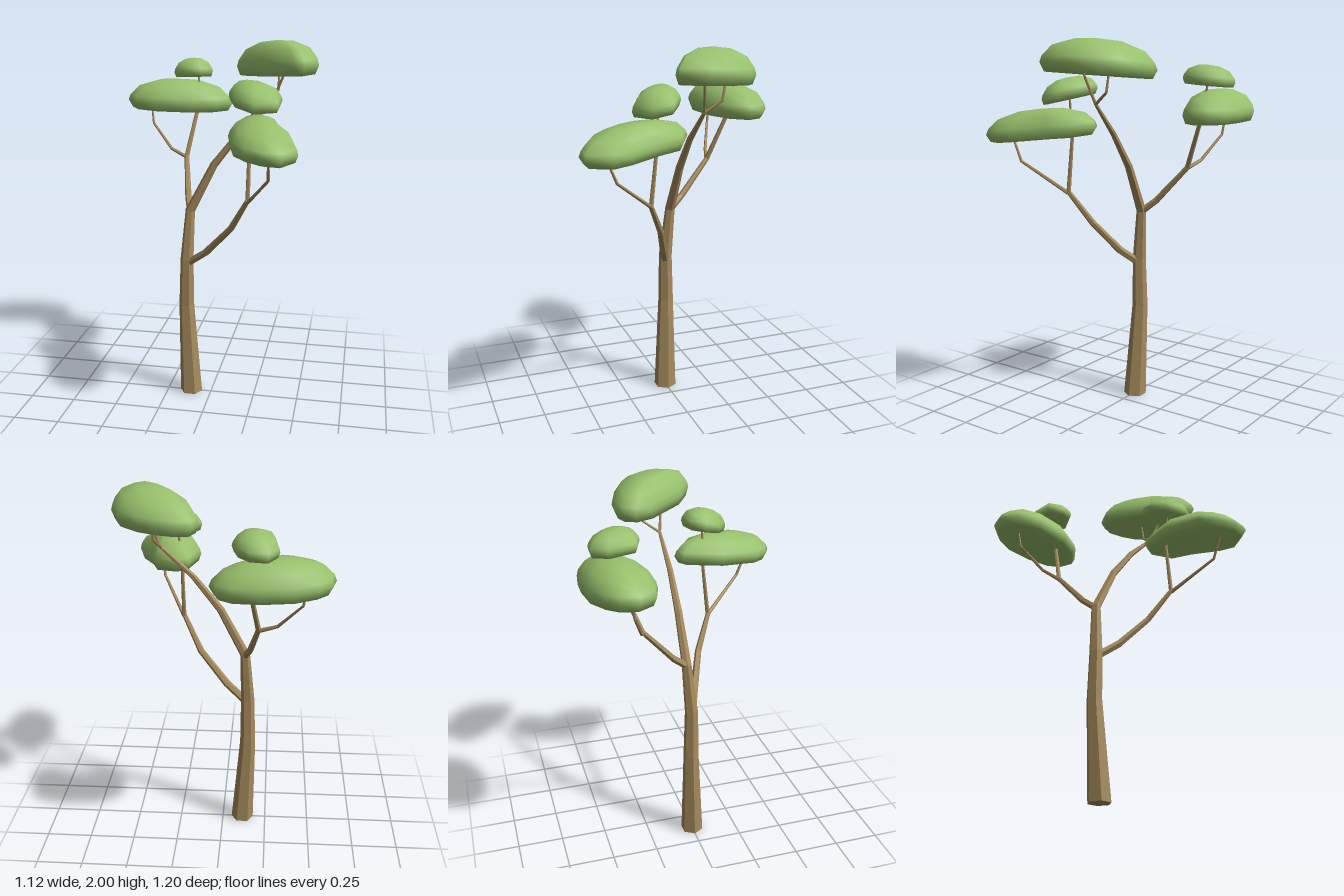
import * as THREE from 'three';

const bark = new THREE.MeshStandardMaterial({ color: 0xa58a5c, flatShading: true });
bark.name = 'bark brown';
const leaf = new THREE.MeshStandardMaterial({ color: 0x98c06c });
leaf.name = 'leaf green';

function meshFrom(name, positions, index, material) {
  const geo = new THREE.BufferGeometry();
  geo.setAttribute('position', new THREE.Float32BufferAttribute(positions, 3));
  geo.setIndex(index);
  geo.computeVertexNormals();
  const mesh = new THREE.Mesh(geo, material);
  mesh.name = name;
  return mesh;
}

// Six-sided tapered limb through points [x, y, z, radius], closed at both ends
function limb(name, points) {
  const sides = 6, pos = [], idx = [];
  const P = points.map(p => new THREE.Vector3(p[0], p[1], p[2]));
  const last = P.length - 1;
  P.forEach((p, i) => {
    const t = P[Math.min(i + 1, last)].clone().sub(p).normalize();
    if (i > 0) t.add(p.clone().sub(P[i - 1]).normalize());
    t.normalize();
    if (i === 0 && p.y === 0) t.set(0, 1, 0);
    const u = new THREE.Vector3(1, 0, 0).addScaledVector(t, -t.x).normalize();
    const v = t.clone().cross(u);
    for (let j = 0; j < sides; j++) {
      const a = (j / sides) * Math.PI * 2;
      const q = p.clone().addScaledVector(u, Math.cos(a) * points[i][3]).addScaledVector(v, Math.sin(a) * points[i][3]);
      pos.push(q.x, q.y, q.z);
    }
  });
  for (let i = 0; i < last; i++) {
    for (let j = 0; j < sides; j++) {
      const a = i * sides + j, b = i * sides + (j + 1) % sides;
      idx.push(a, b, a + sides, b, b + sides, a + sides);
    }
  }
  for (let j = 1; j < sides - 1; j++) {
    const e = last * sides;
    idx.push(0, j + 1, j, e, e + j, e + j + 1);
  }
  return meshFrom(name, pos, idx, bark);
}

// Rings of a leaf pad, top to bottom: [outline scale, height fraction]
const padRings = [[0.4, 0.96], [0.78, 0.76], [0.96, 0.46], [1, 0.28], [0.92, 0.04], [0.6, 0.07]];

// Domed pad with a shallow hollow underside, from its plan outline of [x, z]
function pad(name, y0, height, tiltX, tiltZ, outline) {
  const n = outline.length, pos = [], idx = [];
  const xs = outline.map(p => p[0]), zs = outline.map(p => p[1]);
  const cx = (Math.min(...xs) + Math.max(...xs)) / 2;
  const cz = (Math.min(...zs) + Math.max(...zs)) / 2;
  const add = (dx, dz, f) => pos.push(cx + dx, y0 + height * f + tiltX * dx + tiltZ * dz, cz + dz);
  add(0, 0, 1);
  for (const [s, f] of padRings) for (const [x, z] of outline) add((x - cx) * s, (z - cz) * s, f);
  add(0, 0, 0.16);
  const end = 1 + n * padRings.length;
  for (let j = 0; j < n; j++) {
    const k = (j + 1) % n;
    idx.push(0, 1 + k, 1 + j);
    for (let r = 0; r < padRings.length - 1; r++) {
      const a = 1 + r * n + j, b = 1 + r * n + k;
      idx.push(a, b, a + n, b, b + n, a + n);
    }
    idx.push(end, end - n + j, end - n + k);
  }
  return meshFrom(name, pos, idx, leaf);
}

export function createModel() {
  const tree = new THREE.Group();
  tree.name = 'tree';

  // Trunk, running on into the upper branch
  tree.add(limb('trunk', [
    [-0.115, 0, 0, 0.063], [-0.142, 0.53, -0.015, 0.043], [-0.138, 0.8, -0.012, 0.037],
    [-0.122, 1.08, -0.035, 0.027], [0.01, 1.34, -0.042, 0.021], [0.15, 1.52, -0.045, 0.016], [0.315, 1.68, -0.055, 0.009],
  ]));
  tree.add(limb('upperTwigFront', [[0.315, 1.68, -0.055, 0.008], [0.39, 1.86, -0.025, 0.006]]));
  tree.add(limb('upperTwigBack', [[0.315, 1.68, -0.055, 0.008], [0.34, 1.74, -0.14, 0.007], [0.34, 1.86, -0.16, 0.005]]));

  // Front branch with its two stems
  tree.add(limb('frontBranch', [
    [-0.125, 0.785, -0.005, 0.022], [-0.02, 0.865, 0.04, 0.021], [0.13, 1.03, 0.11, 0.018], [0.23, 1.21, 0.2, 0.013],
  ]));
  tree.add(limb('frontInnerStem', [[0.23, 1.2, 0.197, 0.012], [0.232, 1.5, 0.165, 0.009], [0.25, 1.72, 0.165, 0.005]]));
  tree.add(limb('frontOuterStem', [[0.23, 1.2, 0.197, 0.011], [0.36, 1.37, 0.412, 0.008], [0.365, 1.52, 0.475, 0.006]]));

  // Back branch with its two stems
  tree.add(limb('backBranch', [
    [-0.12, 1.07, -0.03, 0.02], [-0.15, 1.14, -0.115, 0.018], [-0.195, 1.33, -0.285, 0.014],
    [-0.152, 1.58, -0.385, 0.011], [-0.15, 1.79, -0.43, 0.005],
  ]));
  tree.add(limb('backOuterStem', [
    [-0.195, 1.325, -0.283, 0.011], [-0.29, 1.365, -0.315, 0.009], [-0.41, 1.5, -0.375, 0.007], [-0.425, 1.62, -0.39, 0.005],
  ]));

  // Leaf pads
  tree.add(pad('backLeaves', 1.575, 0.177, -0.03, 0, [
    [-0.56, -0.38], [-0.54, -0.47], [-0.48, -0.53], [-0.37, -0.585], [-0.2, -0.6], [-0.06, -0.58],
    [0.01, -0.53], [0.04, -0.45], [-0.03, -0.35], [-0.16, -0.28], [-0.37, -0.25], [-0.5, -0.29],
  ]));
  tree.add(pad('backSmallLeaves', 1.765, 0.11, 0.03, 0.08, [
    [-0.29, -0.46], [-0.24, -0.54], [-0.15, -0.535], [-0.09, -0.48], [-0.065, -0.4], [-0.11, -0.3], [-0.17, -0.285], [-0.27, -0.32],
  ]));
  tree.add(pad('upperLeaves', 1.815, 0.185, 0.06, 0.04, [
    [0.1, -0.235], [0.13, -0.3], [0.2, -0.325], [0.3, -0.318], [0.4, -0.29], [0.5, -0.22],
    [0.55, -0.1], [0.558, 0.01], [0.5, 0.15], [0.44, 0.145], [0.3, 0.06], [0.13, -0.14],
  ]));
  tree.add(pad('frontLeaves', 1.49, 0.16, -0.07, -0.07, [
    [0.18, 0.04], [0.24, 0.005], [0.36, 0.07], [0.4, 0.2], [0.48, 0.37], [0.505, 0.47],
    [0.44, 0.59], [0.35, 0.595], [0.26, 0.55], [0.185, 0.47], [0.135, 0.25],
  ]));
  tree.add(pad('frontSmallLeaves', 1.69, 0.12, -0.1, -0.2, [
    [0.14, 0.065], [0.28, 0.055], [0.39, 0.13], [0.385, 0.24], [0.27, 0.305], [0.16, 0.24], [0.12, 0.15],
  ]));
  return tree;
}
